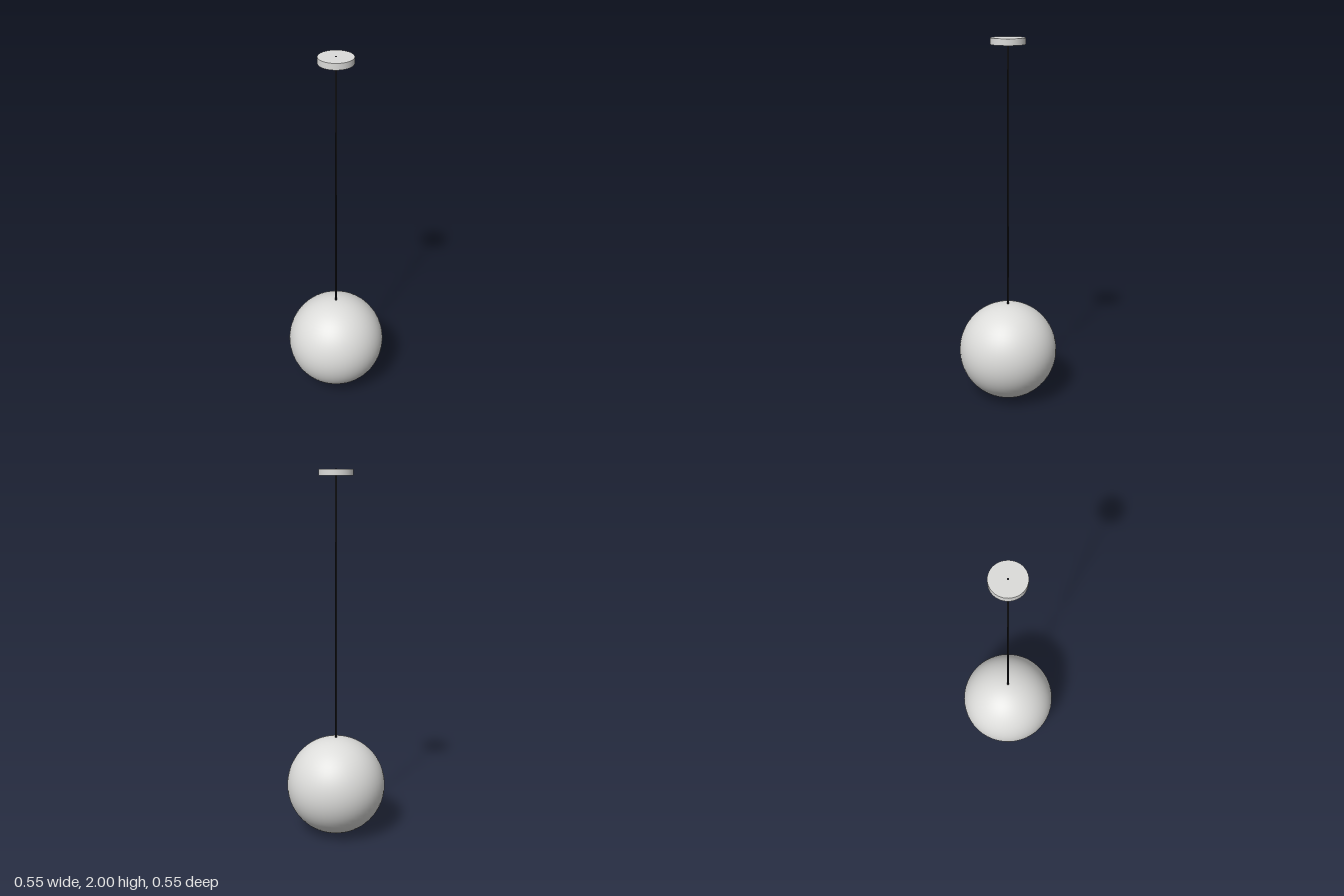
import * as THREE from 'three';

export function createModel() {
  const model = new THREE.Group();
  model.name = 'pendantLamp';

  const paleGrey = new THREE.MeshStandardMaterial({ color: 0xdcdcda });
  paleGrey.name = 'paleGrey';
  const black = new THREE.MeshStandardMaterial({ color: 0x1c1c20 });
  black.name = 'black';

  const add = (name, geometry, material, y) => {
    const mesh = new THREE.Mesh(geometry, material);
    mesh.name = name;
    mesh.position.y = y;
    model.add(mesh);
  };

  const radius = 0.2727;
  const top = 2;

  // Round globe shade standing on the base plane
  add('globe', new THREE.SphereGeometry(radius, 48, 32), paleGrey, radius);

  // Thin cord from the top of the globe, just proud of the ceiling disc
  const cordBottom = 2 * radius - 0.002;
  const cordLength = top - cordBottom;
  add('cord', new THREE.CylinderGeometry(0.0055, 0.0055, cordLength, 8), black, cordBottom + cordLength / 2);

  // Flat ceiling disc
  const discHeight = 0.034;
  add('ceilingDisc', new THREE.CylinderGeometry(0.0909, 0.0909, discHeight, 48), paleGrey, top - 0.0005 - discHeight / 2);

  return model;
}
